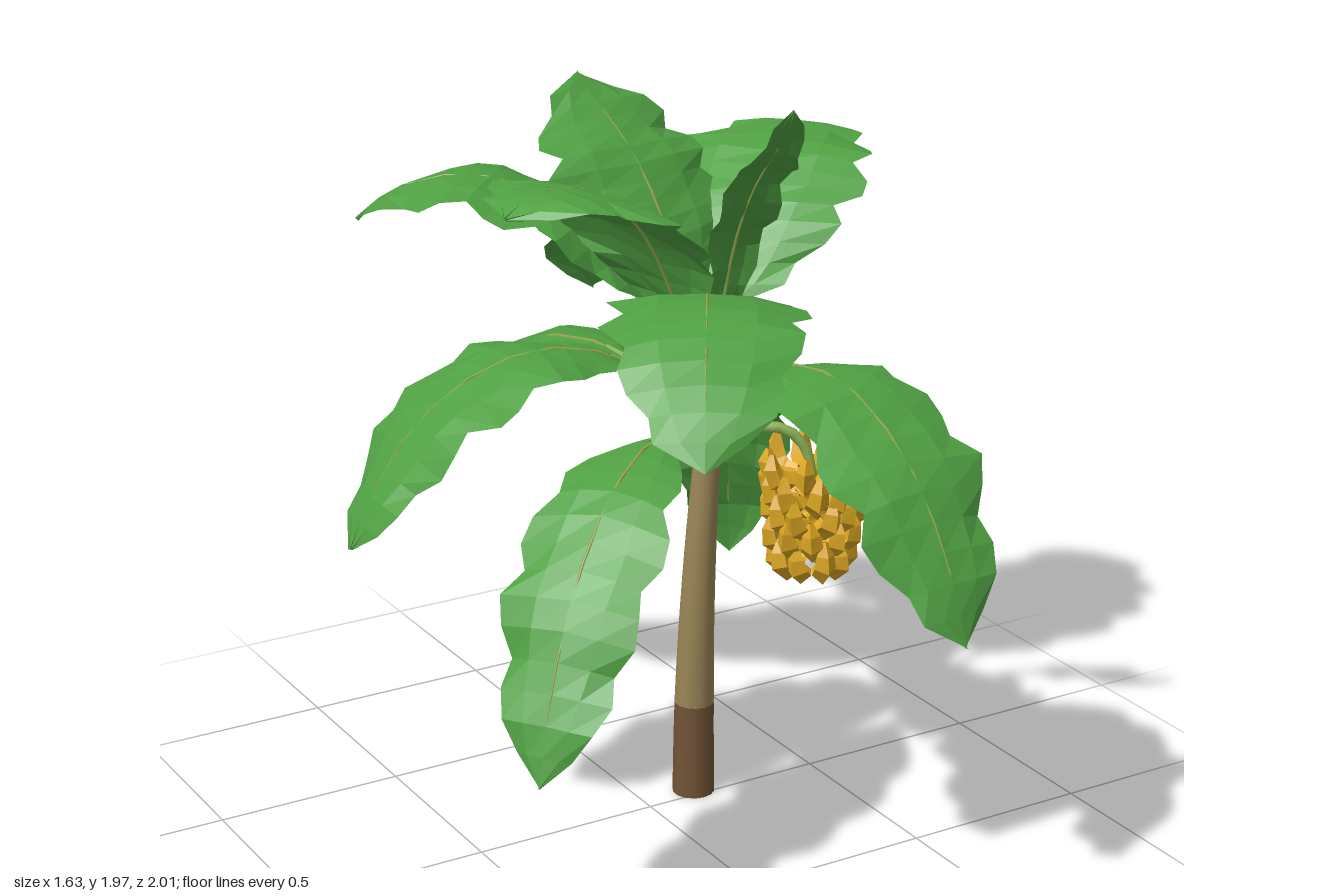
import * as THREE from 'three';
import { mergeGeometries } from 'three/addons/utils/BufferGeometryUtils.js';

const V = (x, y, z) => new THREE.Vector3(x, y, z);

// small seeded random source
let seed = 7;
const rnd = () => {
  seed = (seed * 16807) % 2147483647;
  return seed / 2147483647;
};

const material = (name, hex, side = THREE.FrontSide) => {
  const m = new THREE.MeshStandardMaterial({ color: hex, side });
  m.name = name;
  return m;
};

// tube whose radius follows a function of its length
function taperedTube(curve, segs, sides, radius) {
  const g = new THREE.TubeGeometry(curve, segs, 1, sides, false);
  const pos = g.attributes.position, v = V(0, 0, 0);
  for (let i = 0; i <= segs; i++) {
    const c = curve.getPointAt(i / segs), r = radius(i / segs);
    for (let j = 0; j <= sides; j++) {
      const k = i * (sides + 1) + j;
      v.fromBufferAttribute(pos, k).sub(c).multiplyScalar(r).add(c);
      pos.setXYZ(k, v.x, v.y, v.z);
    }
  }
  return g;
}

function flat(geometry) {
  const g = geometry.toNonIndexed();
  g.computeVertexNormals();
  return g;
}

// section of a curve between two fractions of its length
const section = (curve, from, to) => new THREE.CatmullRomCurve3(
  Array.from({ length: 9 }, (_, i) => curve.getPointAt(from + (to - from) * i / 8)));

// midrib: rises from the crown, passes height mid halfway out, ends at the tip
function midribCurve(tip, mid) {
  const dir = V(tip.x - 0.18, 0, tip.z + 0.02).normalize();
  const root = V(0.18, 0.92, -0.02).addScaledVector(dir, 0.015);
  const handleHeight = (mid - (root.y + tip.y) / 8) / 0.75;
  const handle = f => root.clone().lerp(tip, f).setY(handleHeight);
  return new THREE.CubicBezierCurve3(root, handle(0.15), handle(0.8), tip);
}

// torn, pleated leaf blade swept along the midrib curve, with cross folds
function bladeGeometry(curve, width, start, fold) {
  const rows = 14, cols = [-1, -0.5, 0, 0.5, 1];
  const a = curve.getPointAt(0), b = curve.getPointAt(1);
  const heading = V(b.x - a.x, 0, b.z - a.z).normalize();
  const side = V(0, 1, 0).cross(heading).normalize();
  const pos = [], idx = [];
  const phase = [Math.floor(rnd() * 3), Math.floor(rnd() * 3)];
  for (let i = 0; i <= rows; i++) {
    const s = i / rows;
    const t = start + (1 - start) * s;
    const p = curve.getPointAt(t), tan = curve.getTangentAt(t);
    const up = tan.clone().cross(side).normalize();
    const w = width / 2 * Math.pow(Math.max(0, Math.sin(Math.PI * Math.pow(s, 0.97))), 0.5);
    for (const c of cols) {
      const ac = Math.abs(c), ph = phase[c < 0 ? 0 : 1];
      const notch = ac === 1 ? ((i + ph) % 3 === 0 ? 0.83 : 0.96 + 0.12 * rnd()) : 1;
      const pleat = Math.sin((i + ph) * 1.5) * 0.009 * ac;
      const ripple = fold * Math.sin(i * Math.PI / 2 + 0.8) * Math.min(1, 3 * s) * Math.min(1, 4 - 4 * s);
      const q = p.clone()
        .addScaledVector(side, c * w * notch)
        .addScaledVector(up, pleat + ripple * (0.3 + 0.7 * ac) - ac * ac * w * 0.14)
        .addScaledVector(tan, ac * w * 0.18 * (1 - s));
      pos.push(q.x, q.y, q.z);
    }
  }
  const n = cols.length;
  for (let i = 0; i < rows; i++) {
    for (let j = 0; j < n - 1; j++) {
      const k = i * n + j;
      idx.push(k, k + n, k + 1, k + 1, k + n, k + n + 1);
    }
  }
  const g = new THREE.BufferGeometry();
  g.setAttribute('position', new THREE.Float32BufferAttribute(pos, 3));
  g.setIndex(idx);
  return flat(g);
}

export function createModel() {
  seed = 7;
  const model = new THREE.Group();
  model.name = 'bananaPlant';
  const leafGreen = material('leafGreen', 0x50a043, THREE.DoubleSide);
  const stemGreen = material('stemGreen', 0x94bc5c, THREE.DoubleSide);
  const ribOlive = material('ribOlive', 0x98ac50);
  const trunkTan = material('trunkTan', 0x9a8656);
  const trunkBrown = material('trunkBrown', 0x735437);
  const fruitGold = material('fruitGold', 0xdba622, THREE.DoubleSide);
  const add = (parent, name, geometry, mat) => {
    const m = new THREE.Mesh(geometry, mat);
    m.name = name;
    parent.add(m);
    return m;
  };

  // trunk: dark foot and lighter curved upper part
  const trunk = new THREE.CubicBezierCurve3(
    V(0.15, 0, -0.03), V(0.148, 0.3, -0.03), V(0.15, 0.6, -0.02), V(0.18, 0.94, -0.02));
  add(model, 'trunkFoot', taperedTube(section(trunk, 0, 0.277), 4, 14, t => 0.056 - 0.004 * t), trunkBrown);
  add(model, 'trunk', taperedTube(section(trunk, 0.277, 1), 10, 14, t => 0.052 - 0.017 * t), trunkTan);
  const base = add(model, 'trunkBase', new THREE.CircleGeometry(0.056, 14), trunkBrown);
  base.rotation.x = Math.PI / 2;
  base.position.set(0.15, 0.001, -0.03);
  const heart = new THREE.LineCurve3(V(0.18, 0.92, -0.02), V(0.18, 1.12, -0.01));
  add(model, 'crownHeart', taperedTube(heart, 4, 10, t => 0.036 - 0.02 * t), stemGreen);

  // leaves: name, blade width, fold depth, height halfway out, tip x, y, z
  const leaves = [
    ['backLeaf', 0.47, 0.004, 1.46, 0.4, 1.1, -1],
    ['upperLeftBackLeaf', 0.44, 0.008, 1.62, -0.5, 1.52, -0.62],
    ['upperRightLeaf', 0.55, 0.004, 1.62, 0.78, 1.63, -0.48],
    ['lowerRightLeaf', 0.36, 0.014, 1.06, 0.73, 0.3, -0.79],
    ['lowerBackLeaf', 0.42, 0.022, 1.18, -0.23, 0.63, -0.9],
    ['uprightBackLeaf', 0.5, 0.01, 1.64, 0.1, 1.85, -0.54],
    ['upperLeftLeaf', 0.53, 0.004, 1.69, -0.5, 1.72, 0.19],
    ['leftLeaf', 0.42, 0.004, 1.3, -0.8, 0.87, -0.07],
    ['lowerLeftFrontLeaf', 0.37, 0.012, 1.07, -0.61, 0.43, 0.52],
    ['leftFrontLeaf', 0.47, 0.006, 1.53, -0.36, 1.28, 0.85],
    ['frontLeaf', 0.43, 0.008, 1.3, 0.26, 0.78, 1],
    ['youngLeaf', 0.16, 0.008, 1.69, 0.09, 1.965, 0.5],
  ];
  for (const [name, width, fold, mid, ...tip] of leaves) {
    const curve = midribCurve(V(...tip), mid);
    const start = 0.02 + 0.19 * mid;
    const leaf = new THREE.Group();
    leaf.name = name;
    model.add(leaf);
    add(leaf, 'blade', bladeGeometry(curve, width, start, fold), leafGreen);
    add(leaf, 'leafStalk', taperedTube(section(curve, 0, start + 0.06), 6, 5, t => 0.019 - 0.012 * t), stemGreen);
    add(leaf, 'midrib', taperedTube(section(curve, start, 0.88), 7, 4, t => 0.006 - 0.004 * t), ribOlive);
  }

  // fruit bunch: arched stalk and stacked rings of upturned fruit
  const bunch = new THREE.Group();
  bunch.name = 'fruitBunch';
  model.add(bunch);
  const arch = new THREE.CubicBezierCurve3(
    V(0.18, 0.93, -0.02), V(0.26, 1.06, 0.03), V(0.44, 1.06, 0.09), V(0.43, 0.84, 0.09));
  add(bunch, 'bunchStalk', taperedTube(arch, 10, 6, t => 0.017 - 0.005 * t), stemGreen);
  const fruits = [], rows = 5, perRow = 10;
  for (let r = 0; r < rows; r++) {
    const R = 0.082 + 0.028 * Math.sin(Math.PI * 0.6 * (r + 0.4) / rows);
    for (let i = 0; i < perRow; i++) {
      const h = 0.08 + 0.03 * rnd(), out = R + 0.014 * rnd();
      const curve = new THREE.QuadraticBezierCurve3(
        V(0.04, 0.014, 0), V(out + 0.02, -0.014, 0), V(out, h, 0.03 * (rnd() - 0.5)));
      const g = taperedTube(curve, 4, 4, t => 0.004 + 0.026 * Math.pow(Math.sin(Math.PI * (0.1 + 0.88 * t)), 0.7));
      g.rotateY((i + (r % 2) / 2 + 0.3 * rnd()) / perRow * Math.PI * 2);
      g.translate(0.43, 0.622 + r * 0.062, 0.09);
      fruits.push(flat(g));
    }
  }
  add(bunch, 'fruits', mergeGeometries(fruits), fruitGold);
  return model;
}
